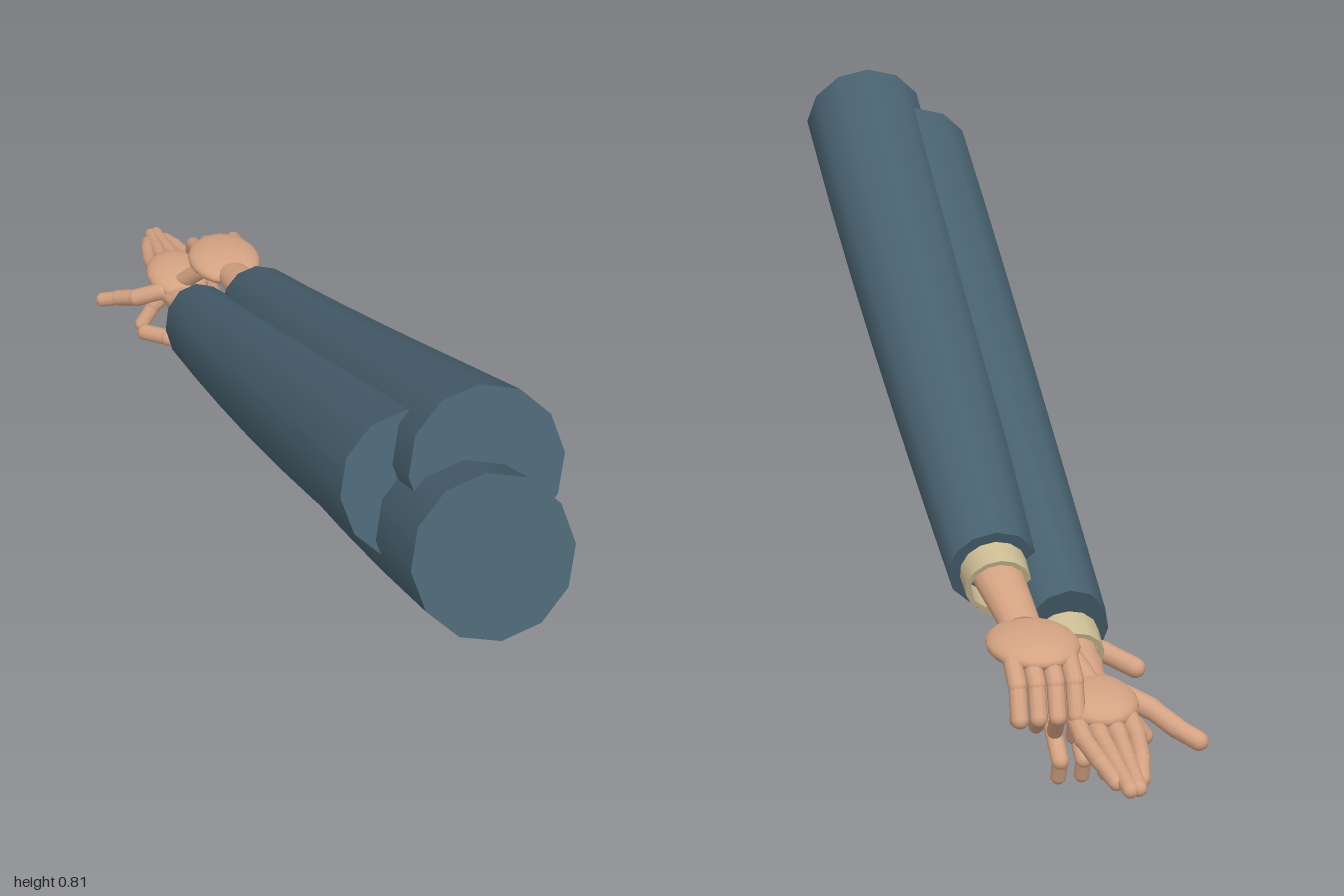
import * as THREE from 'three';
import { toCreasedNormals } from 'three/addons/utils/BufferGeometryUtils.js';

const V = (x, y, z) => new THREE.Vector3(x, y, z);
const material = (name, color) => Object.assign(new THREE.MeshStandardMaterial({ color }), { name });
const cloth = material('blue grey cloth', 0x48616f);
const cuffCloth = material('beige cuff', 0xc9ba92);
const skin = material('skin', 0xd5a383);

function add(parent, geometry, mat, name) {
  const mesh = new THREE.Mesh(geometry, mat);
  mesh.name = name;
  parent.add(mesh);
  return mesh;
}

// Aim a mesh's y axis along a direction
function aim(mesh, from, to, along = 0.5) {
  mesh.position.lerpVectors(from, to, along);
  mesh.quaternion.setFromUnitVectors(V(0, 1, 0), to.clone().sub(from).normalize());
  return mesh;
}

// Tapered twelve-sided sleeve swept along a gently sagging curve
function sleeve(start, end, r0, r1, tall) {
  const mid = start.clone().lerp(end, 0.5).add(V(0, -0.022, 0));
  const curve = new THREE.QuadraticBezierCurve3(start, mid, end);
  const g = new THREE.CylinderGeometry(1, 1, 1, 12, 6);
  const p = g.attributes.position;
  for (let i = 0; i < p.count; i++) {
    const t = 0.5 - p.getY(i);
    const back = curve.getTangent(t).negate();
    const up = V(0, 1, 0).addScaledVector(back, -back.y).normalize();
    const side = back.clone().cross(up);
    const r = THREE.MathUtils.lerp(r0, r1, Math.pow(t, 1.35));
    const v = curve.getPoint(t)
      .addScaledVector(side, p.getX(i) * r)
      .addScaledVector(up, p.getZ(i) * r * THREE.MathUtils.lerp(1, tall, t));
    p.setXYZ(i, v.x, v.y, v.z);
  }
  return toCreasedNormals(g, 0.8);
}

// Open ring of shirt cloth showing below the sleeve
function cuff(parent, end, dir) {
  const profile = [[0.044, -0.03], [0.055, -0.03], [0.052, 0.042], [0.044, 0.042], [0.044, -0.03]]
    .map(([x, y]) => new THREE.Vector2(x, y));
  const g = toCreasedNormals(new THREE.LatheGeometry(profile, 14), 0.6);
  aim(add(parent, g, cuffCloth, 'cuff'), end, end.clone().add(dir), 0);
}

// Chain of rounded finger segments
function digit(parent, points, radius, name) {
  const finger = new THREE.Group();
  finger.name = name;
  for (let i = 0; i < points.length - 1; i++) {
    const a = points[i], b = points[i + 1];
    const g = new THREE.CapsuleGeometry(radius * (1 - 0.08 * i), a.distanceTo(b), 4, 10);
    aim(add(finger, g, skin, name + 'Segment'), a, b);
  }
  parent.add(finger);
}

// Each arm: sleeve ends, wrist, palm, and a rule giving the finger joints (f = 0..3)
const arms = [
  {
    name: 'lowerArm', start: V(0.03, 0.645, 0.955), end: V(0.03, 0.152, -0.32), r0: 0.119, r1: 0.072, tall: 1,
    wrist: V(0.0, 0.12, -0.52), palm: V(-0.005, 0.113, -0.6), size: [0.06, 0.024, 0.09],
    finger: f => {
      const x = -0.045 + f * 0.027, s = (f - 1.5) * 0.008;
      return [V(x, 0.105, -0.66), V(x + s, 0.082, -0.755), V(x + s, 0.046, -0.81), V(x + s, 0.018, -0.8)];
    },
    thumb: [V(-0.045, 0.11, -0.53), V(-0.085, 0.1, -0.545), V(-0.122, 0.09, -0.592)],
  },
  {
    name: 'upperArm', start: V(0.063, 0.705, 0.825), end: V(0.07, 0.213, -0.445), r0: 0.115, r1: 0.072, tall: 1,
    wrist: V(0.062, 0.178, -0.62), palm: V(0.06, 0.178, -0.68), size: [0.07, 0.025, 0.09],
    finger: f => {
      const x = 0.018 + f * 0.028;
      return [V(x, 0.175, -0.73), V(x + 0.004, 0.158, -0.785), V(x + 0.006, 0.115, -0.81),
        V(x + 0.004, 0.072 + f * 0.011, -0.785)];
    },
    thumb: [V(0.01, 0.165, -0.67), V(-0.02, 0.12, -0.71), V(-0.075, 0.07, -0.72), V(-0.103, 0.032, -0.715)],
  },
  {
    name: 'sideArm', start: V(-0.02, 0.64, 0.76), end: V(-0.028, 0.132, -0.525), r0: 0.111, r1: 0.068, tall: 1.2,
    wrist: V(-0.025, 0.1, -0.69), palm: V(-0.018, 0.112, -0.755), size: [0.062, 0.027, 0.085],
    finger: f => {
      const x = -0.055 + f * 0.026, tip = [-0.955, -0.985, -0.988, -0.96][f];
      return [V(x, 0.105, -0.8), V(x, 0.095, -0.85), V(x * 0.75 - 0.004, 0.086, -0.915), V(x * 0.5 - 0.008, 0.076, tip)];
    },
    thumb: [V(-0.06, 0.105, -0.71), V(-0.108, 0.083, -0.735), V(-0.138, 0.065, -0.772), V(-0.165, 0.052, -0.795)],
  },
];

function buildArm(a) {
  const arm = new THREE.Group();
  arm.name = a.name;
  add(arm, sleeve(a.start, a.end, a.r0, a.r1, a.tall), cloth, 'sleeve');
  const dir = a.end.clone().sub(a.start).normalize();
  const cuffBase = a.end.clone().add(V(0, a.tall > 1 ? -0.015 : 0, 0));
  cuff(arm, cuffBase, dir);

  // Wrist tapers slightly toward the hand
  const inner = cuffBase.clone().addScaledVector(dir, -0.01);
  const wristGeo = new THREE.CylinderGeometry(0.031, 0.043, inner.distanceTo(a.wrist), 14);
  aim(add(arm, wristGeo, skin, 'wrist'), inner, a.wrist).scale.z = 0.75;

  // Flattened palm, four fingers and a thumb
  const palm = add(arm, new THREE.SphereGeometry(1, 20, 14), skin, 'palm');
  palm.position.copy(a.palm);
  palm.scale.set(...a.size);
  for (let f = 0; f < 4; f++) digit(arm, a.finger(f), 0.0145, 'finger');
  digit(arm, a.thumb, 0.0175, 'thumb');
  return arm;
}

export function createModel() {
  const model = new THREE.Group();
  model.name = 'joinedArms';
  arms.forEach(a => model.add(buildArm(a)));
  return model;
}
